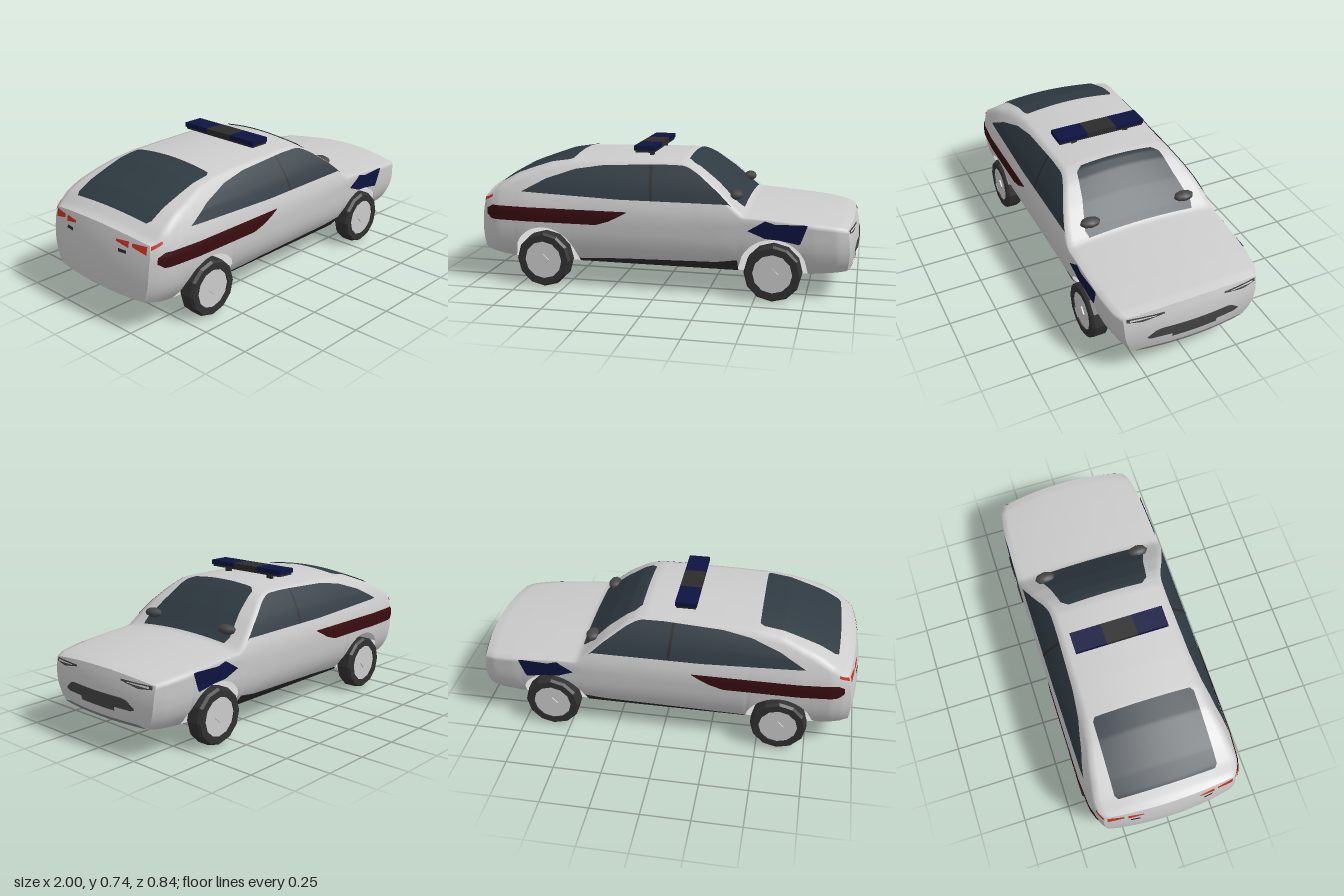
import * as THREE from 'three';

const mat = (color, flatShading = false) =>
  new THREE.MeshStandardMaterial({ color, flatShading, side: THREE.DoubleSide });
const GREY = mat(0xcccccc), GLASS = mat(0x2f3a42), DARK = mat(0x2b2b2b), TRIM = mat(0x454545);
const NAVY = mat(0x0d1440), MAROON = mat(0x3a0c10), RED = mat(0xd03020);
const TYRE = mat(0x303030, true), RIM = mat(0xcccccc, true);
const WHEEL_X = [0.59, -0.61], WHEEL_R = 0.145;

// Linear lookup in a short table of [input, value] pairs
function lookup(table, x) {
  if (x <= table[0][0]) return table[0][1];
  for (let i = 1; i < table.length; i++) {
    const [x0, y0] = table[i - 1], [x1, y1] = table[i];
    if (x <= x1) return y0 + (y1 - y0) * (x - x0) / (x1 - x0);
  }
  return table[table.length - 1][1];
}

// Body rules: centre-line height, plan half width, side curvature, lower edge
const ROOF = [[-1, 0.49], [-0.96, 0.5], [-0.9, 0.54], [-0.8, 0.59], [-0.6, 0.66], [-0.48, 0.68],
  [-0.3, 0.687], [0, 0.692], [0.1, 0.692], [0.15, 0.68], [0.2, 0.655], [0.3, 0.58], [0.4, 0.49],
  [0.44, 0.458], [0.6, 0.447], [0.8, 0.43], [0.95, 0.415], [1, 0.405]];
const WIDTH = [[-1, 0.355], [-0.95, 0.38], [-0.88, 0.4], [-0.7, 0.413], [0.35, 0.413], [0.6, 0.407],
  [0.8, 0.4], [0.93, 0.385], [1, 0.36]];
const FLANK = [[0.13, 0.78], [0.16, 0.85], [0.2, 0.92], [0.25, 0.965], [0.3, 0.985], [0.4, 1],
  [0.45, 0.98], [0.5, 0.94], [0.55, 0.89], [0.6, 0.82], [0.66, 0.72], [0.69, 0.62]];
const SILL = [[-1, 0.17], [-0.9, 0.15], [-0.78, 0.132], [0.78, 0.132], [1, 0.155]];

const roofY = t => lookup(ROOF, t);
const edgeY = t => roofY(t) - 0.03;
const sideZ = (t, y) => lookup(WIDTH, t) * lookup(FLANK, y);
const topY = (t, z) => edgeY(t) + 0.03 * (1 - (z / sideZ(t, edgeY(t))) ** 2);
const sillY = t => lookup(SILL, t);
function lowerY(t) { // sill raised over the wheels
  let y = sillY(t);
  for (const cx of WHEEL_X) {
    const h = 0.175 ** 2 - (t - cx) ** 2;
    if (h > 0) y = Math.max(y, WHEEL_R + Math.sqrt(h));
  }
  return y;
}
// Rounds off the nose and the tail
function warp(t, y, z) {
  const d = 0.3 * z * z + (t > 0 ? 1.3 : 0.7) * (y - 0.28) ** 2;
  return [t - Math.sign(t) * Math.abs(t) ** 8 * d, y, z];
}

// Surface through fn(u, v), u and v from 0 to 1
function grid(name, material, nu, nv, fn) {
  const pos = [], idx = [], row = nv + 1;
  for (let i = 0; i <= nu; i++) for (let j = 0; j <= nv; j++) pos.push(...fn(i / nu, j / nv));
  for (let i = 0; i < nu; i++) for (let j = 0; j < nv; j++) {
    const a = i * row + j;
    idx.push(a, a + 1, a + row, a + 1, a + row + 1, a + row);
  }
  const g = new THREE.BufferGeometry();
  g.setAttribute('position', new THREE.Float32BufferAttribute(pos, 3));
  g.setIndex(idx);
  g.computeVertexNormals();
  const m = new THREE.Mesh(g, material);
  m.name = name;
  return m;
}

// Panel between two outline curves, laid on a surface by map(a, b)
function panel(name, material, lower, upper, map, nu = 40, nv = 8) {
  const a0 = lower[0][0], a1 = lower[lower.length - 1][0];
  return grid(name, material, nu, nv, (u, v) => {
    const a = a0 + (a1 - a0) * u, lo = lookup(lower, a), hi = lookup(upper, a);
    return map(a, lo + (hi - lo) * v);
  });
}
const onSide = s => (t, y) => {
  const yy = Math.min(Math.max(y, lowerY(t)), edgeY(t) - 0.002);
  return warp(t, yy, s * (sideZ(t, yy) + 0.005));
};
const onTop = (t, z) => warp(t, topY(t, z) + 0.006, z);
const onEnd = (end, s) => (z, y) => warp(end * 1.005, y, s * z);

function mesh(name, geometry, material, x = 0, y = 0, z = 0) {
  const m = new THREE.Mesh(geometry, material);
  m.name = name;
  m.position.set(x, y, z);
  return m;
}

function makeWheel(x, side) {
  const wheel = new THREE.Group();
  wheel.name = (x > 0 ? 'front' : 'rear') + (side > 0 ? 'Right' : 'Left') + 'Wheel';
  const profile = [[0.1, -0.044], [0.135, -0.044], [WHEEL_R, -0.03], [WHEEL_R, 0.03],
    [0.135, 0.044], [0.1, 0.044], [0.1, -0.044]].map(p => new THREE.Vector2(...p));
  wheel.add(mesh('tyre', new THREE.LatheGeometry(profile, 12), TYRE));
  wheel.add(mesh('rim', new THREE.CylinderGeometry(0.103, 0.103, 0.076, 12), RIM));
  wheel.add(mesh('hub', new THREE.CylinderGeometry(0.03, 0.036, 0.09, 4), RIM));
  wheel.rotation.x = side * Math.PI / 2;
  wheel.position.set(x, WHEEL_R, side * 0.368);
  return wheel;
}

export function createModel() {
  const car = new THREE.Group();
  car.name = 'patrolCar';

  // Shell: up one flank, across the top, down the other
  car.add(grid('bodyShell', GREY, 120, 48, (u, v) => {
    const t = u * 2 - 1, s = v * 2 - 1, e = edgeY(t);
    if (Math.abs(s) <= 0.5) {
      const z = sideZ(t, e) * s * 2;
      return warp(t, topY(t, z), z);
    }
    const b = lowerY(t), y = b + (e - b) * (1 - Math.abs(s)) * 2;
    return warp(t, y, Math.sign(s) * sideZ(t, y));
  }));
  car.add(grid('floor', GREY, 60, 4, (u, v) => {
    const t = 1 - u * 2, y = sillY(t);
    return warp(t, y, (v * 2 - 1) * sideZ(t, y));
  }));
  for (const end of [1, -1]) {
    car.add(grid(end > 0 ? 'nose' : 'tail', GREY, 13, 20, (u, v) => {
      const e = edgeY(end), b = sillY(end), y = b + (e - b) * Math.min(1, u * 13 / 12);
      const z = (v * 2 - 1) * sideZ(end, y) * end;
      return warp(end, u === 1 ? topY(end, z) : y, z);
    }));
  }

  // Windscreen and rear window
  const mirrorZ = pts => pts.map(([t, z]) => [t, -z]);
  const screen = [[0.13, 0.2], [0.16, 0.235], [0.28, 0.26], [0.4, 0.3], [0.432, 0.29]];
  const rear = [[-0.91, 0.255], [-0.89, 0.27], [-0.5, 0.265], [-0.48, 0.25]];
  car.add(panel('windscreen', GLASS, mirrorZ(screen), screen, onTop, 40, 16));
  car.add(panel('rearWindow', GLASS, mirrorZ(rear), rear, onTop, 40, 16));

  for (const s of [1, -1]) {
    const side = onSide(s);
    // Side glass with its pillar
    car.add(panel('sideWindow', GLASS, [[-0.73, 0.503], [-0.2, 0.485], [0.4, 0.485]],
      [[-0.73, 0.505], [-0.6, 0.572], [-0.45, 0.622], [-0.3, 0.645], [0, 0.658], [0.13, 0.657],
        [0.2, 0.62], [0.35, 0.51], [0.4, 0.487]], side, 60));
    car.add(panel('doorPillar', DARK, [[-0.07, 0.487], [-0.055, 0.487]], [[-0.07, 0.656], [-0.055, 0.656]],
      (t, y) => {
        const p = side(t - (y - 0.487) * 0.1, y);
        return [p[0] + 0.03, p[1], p[2] + s * 0.002];
      }, 2));
    // Painted markings
    car.add(panel('rearStripe', MAROON, [[-0.965, 0.375], [-0.92, 0.35], [-0.32, 0.35], [-0.25, 0.372], [-0.155, 0.422]],
      [[-0.965, 0.405], [-0.92, 0.425], [-0.155, 0.425]], side, 60));
    car.add(panel('frontMarking', NAVY, [[0.465, 0.36], [0.55, 0.325], [0.62, 0.32], [0.725, 0.3], [0.765, 0.4]],
      [[0.465, 0.362], [0.55, 0.415], [0.6, 0.4], [0.765, 0.403]], side));
    car.add(panel('sideSkirt', DARK, [[-0.43, 0.132], [0.41, 0.132]],
      [[-0.43, 0.15], [-0.2, 0.165], [0.3, 0.18], [0.41, 0.2]], side));
    // Lamps
    car.add(panel('headlampSurround', TRIM, [[0.16, 0.37], [0.27, 0.35], [0.345, 0.357]],
      [[0.16, 0.378], [0.345, 0.374]], onEnd(1, s), 12, 3));
    car.add(panel('headlamp', GREY, [[0.2, 0.368], [0.33, 0.36]], [[0.2, 0.372], [0.33, 0.37]],
      (z, y) => { const p = onEnd(1, s)(z, y); return [p[0] + 0.003, p[1], p[2]]; }, 8, 2));
    car.add(panel('outerTailLamp', RED, [[0.25, 0.435], [0.335, 0.415]], [[0.25, 0.452], [0.335, 0.455]],
      onEnd(-1, s), 8, 3));
    car.add(panel('innerTailLamp', RED, [[0.15, 0.44], [0.23, 0.425]], [[0.15, 0.45], [0.23, 0.455]],
      onEnd(-1, s), 8, 3));
    car.add(panel('tailReflector', DARK, [[0.17, 0.395], [0.22, 0.395]], [[0.17, 0.41], [0.22, 0.41]],
      onEnd(-1, s), 4, 2));
    car.add(panel('tailLampCorner', RED, [[-1, 0.44], [-0.93, 0.465]], [[-1, 0.46], [-0.93, 0.478]], side, 8, 3));
    // Mirror, drawn to a point at its outer end
    const mirror = mesh('mirror', new THREE.SphereGeometry(1, 8, 6), TRIM, 0.385, 0.511, s * 0.265);
    mirror.scale.set(0.035, 0.025, 0.055);
    car.add(mirror);
    for (const x of WHEEL_X) car.add(makeWheel(x, s));
  }

  // Grille, number plate recess and front lip
  car.add(panel('grille', TRIM, [[-0.245, 0.243], [-0.235, 0.235], [0.235, 0.235], [0.245, 0.243]],
    [[-0.245, 0.25], [-0.2, 0.285], [-0.17, 0.29], [0.17, 0.29], [0.2, 0.285], [0.245, 0.25]], onEnd(1, 1), 24, 4));
  car.add(panel('plateRecess', TRIM, [[-0.12, 0.215], [0.12, 0.215]], [[-0.12, 0.236], [0.12, 0.236]],
    onEnd(1, 1), 10, 2));
  car.add(panel('frontLip', mat(0x808080), [[-0.29, 0.157], [0.29, 0.157]],
    [[-0.29, 0.16], [-0.25, 0.172], [0.25, 0.172], [0.29, 0.16]], onEnd(1, 1), 16, 2));

  // Roof light bar
  const bar = new THREE.Group();
  bar.name = 'lightBar';
  bar.position.x = -0.1;
  bar.add(mesh('barBase', new THREE.BoxGeometry(0.1, 0.012, 0.482), DARK, 0, 0.711, 0));
  bar.add(mesh('barCentre', new THREE.BoxGeometry(0.11, 0.024, 0.165), DARK, 0, 0.728, 0));
  for (const s of [1, -1]) {
    bar.add(mesh('barLamp', new THREE.BoxGeometry(0.11, 0.024, 0.1625), NAVY, 0, 0.728, s * 0.16375));
    bar.add(mesh('barFoot', new THREE.BoxGeometry(0.02, 0.03, 0.03), DARK, 0.02, 0.693, s * 0.15));
  }
  car.add(bar);
  return car;
}
